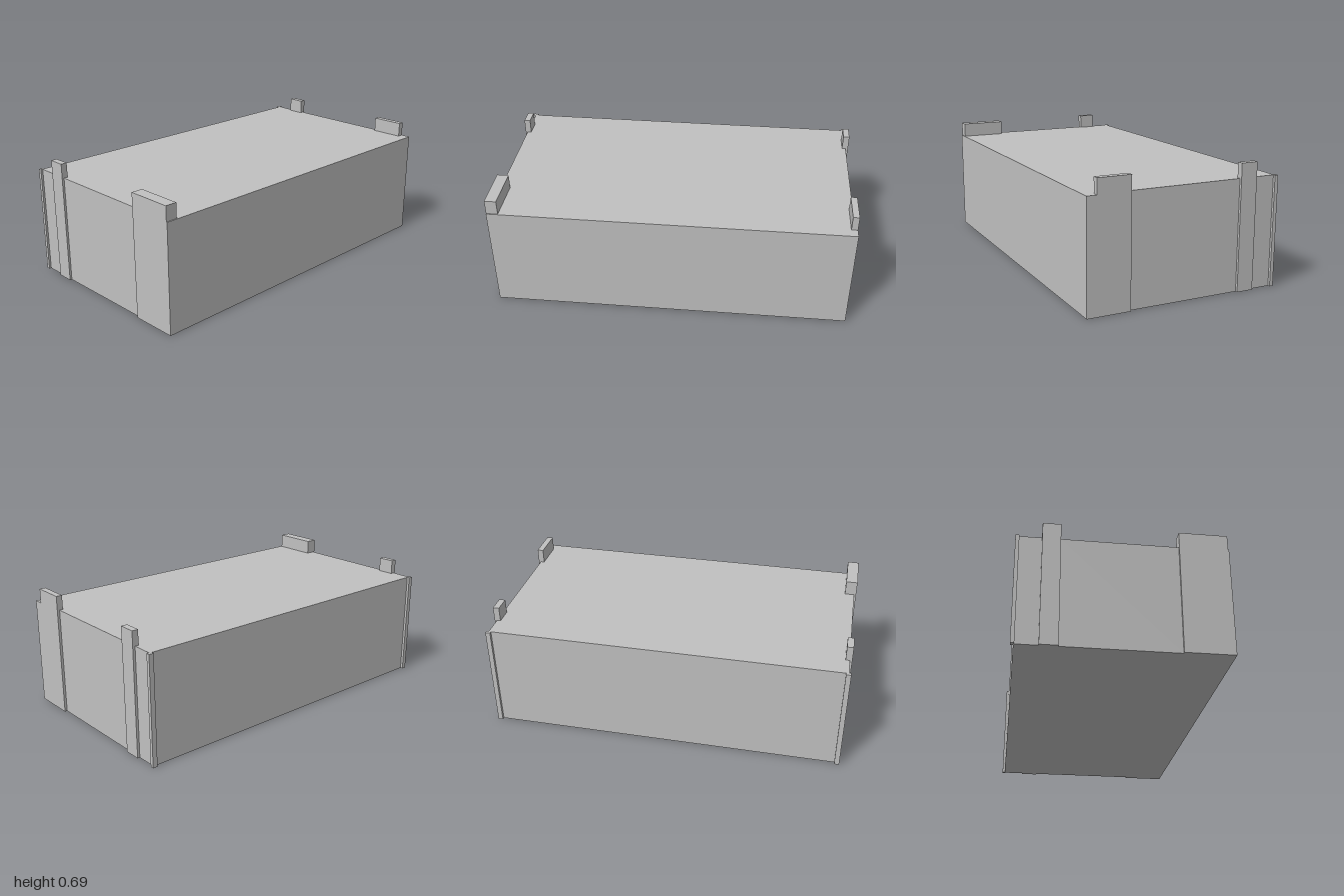
import * as THREE from 'three';

export function createModel() {
  const model = new THREE.Group();
  const grey = new THREE.MeshStandardMaterial({ color: 0xc0c0c0 });
  grey.name = 'plain grey';

  const WALL = 0.608, TOP = 0.69, FRONT = 0.55, BACK = -0.55;

  // Plan outline of one side, from front to back, as [x, z]: front pier, rear post, corner strip
  const side = (wallX, pierBack) => [
    [1, FRONT], [1, pierBack], [wallX, pierBack],
    [wallX, -0.32], [1, -0.32], [1, -0.415], [wallX, -0.415],
    [wallX, -0.53], [1, -0.53], [1, BACK], [0.973, BACK], [0.973, -0.535],
  ];
  const left = side(0.986, 0.31);
  const right = side(0.988, 0.288).map(([x, z]) => [-x, z]).reverse();

  // Main block, extruded upward from the plan
  const plan = new THREE.Shape([...left, ...right].map(([x, z]) => new THREE.Vector2(x, -z)));
  const blockGeometry = new THREE.ExtrudeGeometry(plan, { depth: WALL, bevelEnabled: false });
  blockGeometry.rotateX(-Math.PI / 2);
  const block = new THREE.Mesh(blockGeometry, grey);
  block.name = 'mainBlock';
  model.add(block);

  // Upstands on the roof edge
  const upstand = (name, x0, x1, z0, z1) => {
    const mesh = new THREE.Mesh(new THREE.BoxGeometry(x1 - x0, TOP - WALL, z1 - z0), grey);
    mesh.position.set((x0 + x1) / 2, (TOP + WALL) / 2, (z0 + z1) / 2);
    mesh.name = name;
    model.add(mesh);
  };
  upstand('frontLeftUpstand', 0.965, 1, 0.31, 0.495);
  upstand('frontRightUpstand', -1, -0.935, 0.288, 0.545);
  upstand('rearLeftUpstand', 0.965, 1, -0.415, -0.32);
  upstand('rearRightUpstand', -1, -0.965, -0.415, -0.32);

  return model;
}
